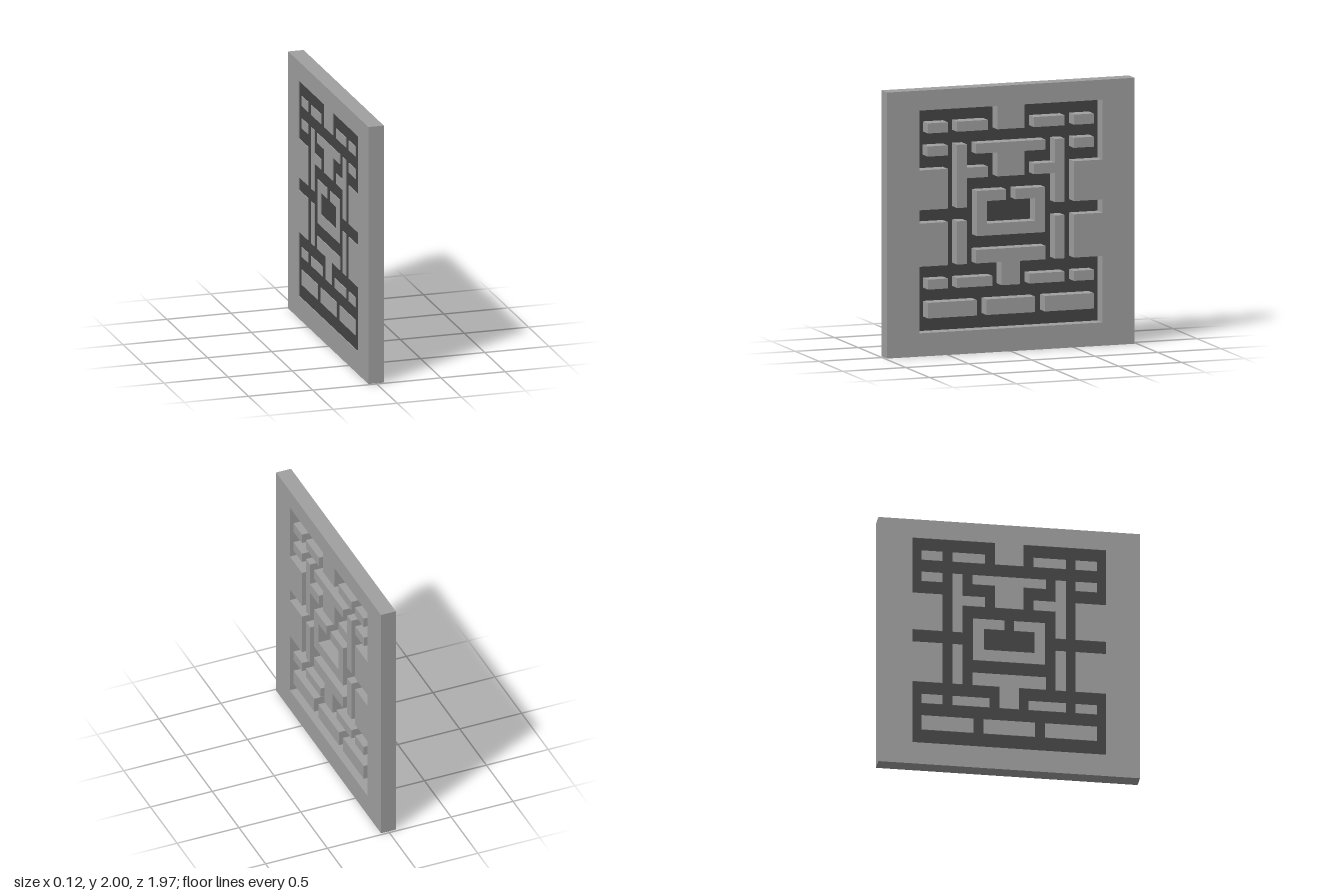
import * as THREE from 'three';

const THICK = 0.12, HALF = 0.983, HEIGHT = 2;

// Profiles are [z, y] points; mirroring flips them across z = 0.
const mirror = pts => pts.map(([z, y]) => [-z, y]).reverse();
const symmetric = half => [...half, ...mirror(half)];
const rect = (z0, z1, y0, y1) => [[z0, y0], [z1, y0], [z1, y1], [z0, y1]];
const toPoints = pts => pts.map(([z, y]) => new THREE.Vector2(z, y));

export function createModel() {
  const group = new THREE.Group();
  const stone = new THREE.MeshStandardMaterial({ color: 0xa0a0a0 });
  const dark = new THREE.MeshStandardMaterial({ color: 0x444444 });

  // Extrude a [z, y] profile through the thickness of the panel
  function slab(name, pts, hole) {
    const shape = new THREE.Shape(toPoints(pts));
    if (hole) shape.holes.push(new THREE.Path(toPoints(hole)));
    const geo = new THREE.ExtrudeGeometry(shape, { depth: THICK, bevelEnabled: false });
    geo.rotateY(-Math.PI / 2).translate(THICK / 2, 0, 0);
    const mesh = new THREE.Mesh(geo, stone);
    mesh.name = name;
    group.add(mesh);
  }
  function pair(name, pts) {
    slab(name + 'Left', pts);
    slab(name + 'Right', mirror(pts));
  }

  // Surrounding panel with the stepped outline of the fretwork cut out
  slab('panelFrame', rect(-HALF, HALF, 0, HEIGHT), symmetric([
    [0.107, 1.674], [0.107, 1.85], [0.727, 1.85], [0.727, 1.4],
    [0.5, 1.4], [0.5, 1.1], [0.727, 1.1], [0.727, 1.0],
    [0.5, 1.0], [0.5, 0.675], [0.727, 0.675], [0.727, 0.175],
  ]));

  // Rectangular blocks standing in the recess, mirrored on both sides
  const blocks = {
    upperOuterBlock: [0.5, 0.658, 1.674, 1.75],
    upperInnerBlock: [0.183, 0.427, 1.674, 1.75],
    shoulderBlock: [0.5, 0.66, 1.5, 1.576],
    lowerPost: [0.35, 0.427, 0.675, 1.0],
    lowerOuterBlock: [0.5, 0.658, 0.5, 0.575],
    lowerInnerBlock: [0.147, 0.427, 0.5, 0.575],
    baseBlock: [0.27, 0.658, 0.283, 0.4],
  };
  for (const [name, r] of Object.entries(blocks)) pair(name, rect(...r));
  slab('baseBlockCentre', rect(-0.193, 0.193, 0.283, 0.4));

  // Upper posts with a foot reaching inwards
  pair('upperPost', [
    [0.427, 1.576], [0.35, 1.576], [0.35, 1.4], [0.183, 1.4],
    [0.183, 1.32], [0.35, 1.32], [0.35, 1.1], [0.427, 1.1],
  ]);

  // T-shaped blocks above and below the centre
  slab('upperTee', symmetric([[0.107, 1.32], [0.107, 1.5], [0.275, 1.5], [0.275, 1.576]]));
  slab('lowerTee', symmetric([[0.074, 0.5], [0.074, 0.675], [0.275, 0.675], [0.275, 0.777]]));

  // Central ring, open at the top
  slab('centreRing', symmetric([
    [0.19, 0.97], [0.19, 1.14], [0.037, 1.14], [0.037, 1.22], [0.27, 1.22], [0.27, 0.88],
  ]));

  // Dark sheet closing the recess near the back
  const sheet = new THREE.Mesh(new THREE.BoxGeometry(0.01, 1.69, 1.47), dark);
  sheet.name = 'backingSheet';
  sheet.position.set(-0.049, 1.0125, 0);
  group.add(sheet);

  return group;
}
